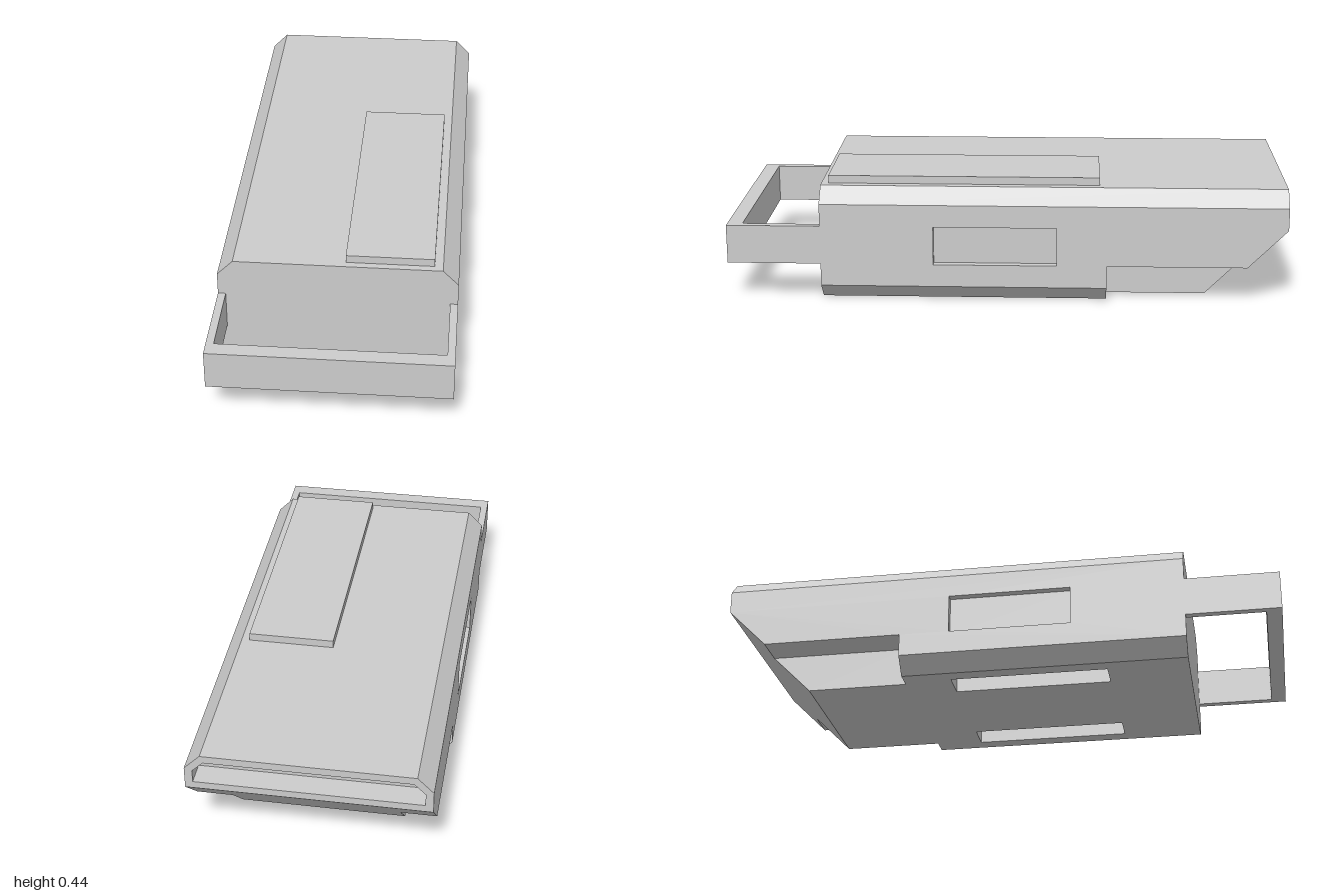
import * as THREE from 'three';
import { mergeGeometries } from 'three/addons/utils/BufferGeometryUtils.js';

const V = (x, y, z) => new THREE.Vector3(x, y, z);
const material = new THREE.MeshStandardMaterial({ color: 0xcccccc, flatShading: true });

// Flat panel from a loop of corners, anticlockwise seen from outside.
// Each hole is a loop in the same plane, sunk inward by its depth.
function panel(corners, holes = []) {
  const o = corners[0];
  const u = corners[1].clone().sub(o).normalize();
  const n = u.clone().cross(corners[2].clone().sub(corners[1])).normalize();
  const v = n.clone().cross(u);
  const basis = new THREE.Matrix4().makeBasis(u, v, n).setPosition(o);
  const flat = p => {
    const d = p.clone().sub(o);
    return new THREE.Vector2(d.dot(u), d.dot(v));
  };
  const fill = (loop, cuts = []) => {
    const shape = new THREE.Shape(loop.map(flat));
    shape.holes = cuts.map(c => new THREE.Path(c.loop.map(flat)));
    return new THREE.ShapeGeometry(shape).applyMatrix4(basis);
  };
  const parts = [fill(corners, holes)];
  for (const { loop, depth } of holes) {
    const sink = n.clone().multiplyScalar(-depth);
    parts.push(fill(loop).translate(sink.x, sink.y, sink.z));
    loop.forEach((a, i) => {
      const b = loop[(i + 1) % loop.length];
      parts.push(panel([a, b, b.clone().add(sink), a.clone().add(sink)]));
    });
  }
  return mergeGeometries(parts);
}

const mirror = loop => loop.map(p => V(-p.x, p.y, p.z)).reverse();

export function createModel() {
  const model = new THREE.Group();
  const add = (name, geometry) => {
    const mesh = new THREE.Mesh(geometry, material);
    mesh.name = name;
    model.add(mesh);
  };

  // Half width, deck half width, height, chamfer heights, front and rear
  const W = 0.415, C = 0.36, H = 0.417, LO = 0.058, HI = 0.361, F = 0.665, R = -1;
  // Corner notch: inner x, ceiling height, front wall
  const N = 0.29, Y = 0.14, Z = -0.36;
  // Rear undercut: 45 degree slope up to height S
  const S = 0.28, slope = y => R + S - y;

  // Sides, each with a shallow window
  const side = [V(W, LO, F), V(W, LO, Z), V(W, Y, Z), V(W, Y, slope(Y)), V(W, S, R), V(W, HI, R), V(W, HI, F)];
  const window = [V(W, Y, 0.26), V(W, Y, -0.18), V(W, S, -0.18), V(W, S, 0.26)];
  // Chamfers and the notch in each lower rear corner
  const sideFaces = {
    UpperChamfer: [V(W, HI, F), V(W, HI, R), V(C, H, R), V(C, H, F)],
    LowerChamfer: [V(C, 0, F), V(C, 0, Z), V(W, LO, Z), V(W, LO, F)],
    NotchWall: [V(N, 0, Z), V(N, 0, slope(0)), V(N, Y, slope(Y)), V(N, Y, Z)],
    NotchCeiling: [V(N, Y, Z), V(N, Y, slope(Y)), V(W, Y, slope(Y)), V(W, Y, Z)],
    NotchEnd: [V(W, LO, Z), V(C, 0, Z), V(N, 0, Z), V(N, Y, Z), V(W, Y, Z)],
  };
  for (const [label, place] of [['left', l => l], ['right', mirror]]) {
    add(label + 'Side', panel(place(side), [{ loop: place(window), depth: 0.028 }]));
    for (const [part, loop] of Object.entries(sideFaces)) add(label + part, panel(place(loop)));
  }

  // Deck and front wall
  add('deck', panel([V(-C, H, F), V(C, H, F), V(C, H, R), V(-C, H, R)]));
  add('frontWall', panel([V(-C, 0, F), V(C, 0, F), V(W, LO, F), V(W, HI, F),
    V(C, H, F), V(-C, H, F), V(-W, HI, F), V(-W, LO, F)]));

  // Underside with two long pockets
  const pocket = [V(0.195, 0, 0.375), V(0.195, 0, -0.19), V(0.305, 0, -0.19), V(0.305, 0, 0.375)];
  add('underside', panel(
    [V(-C, 0, F), V(-C, 0, Z), V(-N, 0, Z), V(-N, 0, slope(0)),
      V(N, 0, slope(0)), V(N, 0, Z), V(C, 0, Z), V(C, 0, F)],
    [pocket, mirror(pocket)].map(loop => ({ loop, depth: 0.14 }))));

  // Sloped rear undercut
  add('rearSlope', panel([V(N, 0, slope(0)), V(-N, 0, slope(0)), V(-N, Y, slope(Y)), V(-W, Y, slope(Y)),
    V(-W, S, R), V(W, S, R), V(W, Y, slope(Y)), V(N, Y, slope(Y))]));

  // Rear face with a wide slot
  const rear = (w, c, y0, y1, y2) =>
    [V(w, y0, R), V(-w, y0, R), V(-w, y1, R), V(-c, y2, R), V(c, y2, R), V(w, y1, R)];
  add('rearFace', panel(rear(W, C, S, HI, H), [{ loop: rear(0.388, 0.35, 0.306, 0.352, 0.39), depth: 0.085 }]));

  // Front guard: two thin arms joined by a crossbar
  const guard = new THREE.Shape([[-W, -F], [-W, -1], [W, -1], [W, -F], [0.388, -F],
    [0.388, -0.945], [-0.388, -0.945], [-0.388, -F]].map(p => new THREE.Vector2(...p)));
  add('frontGuard', new THREE.ExtrudeGeometry(guard, { depth: S - Y, bevelEnabled: false })
    .rotateX(-Math.PI / 2).translate(0, Y, 0));

  // Raised plate on the deck
  add('deckPlate', new THREE.BoxGeometry(0.304, 0.028, 0.973).translate(0.179, H + 0.014, 0.153));

  return model;
}
